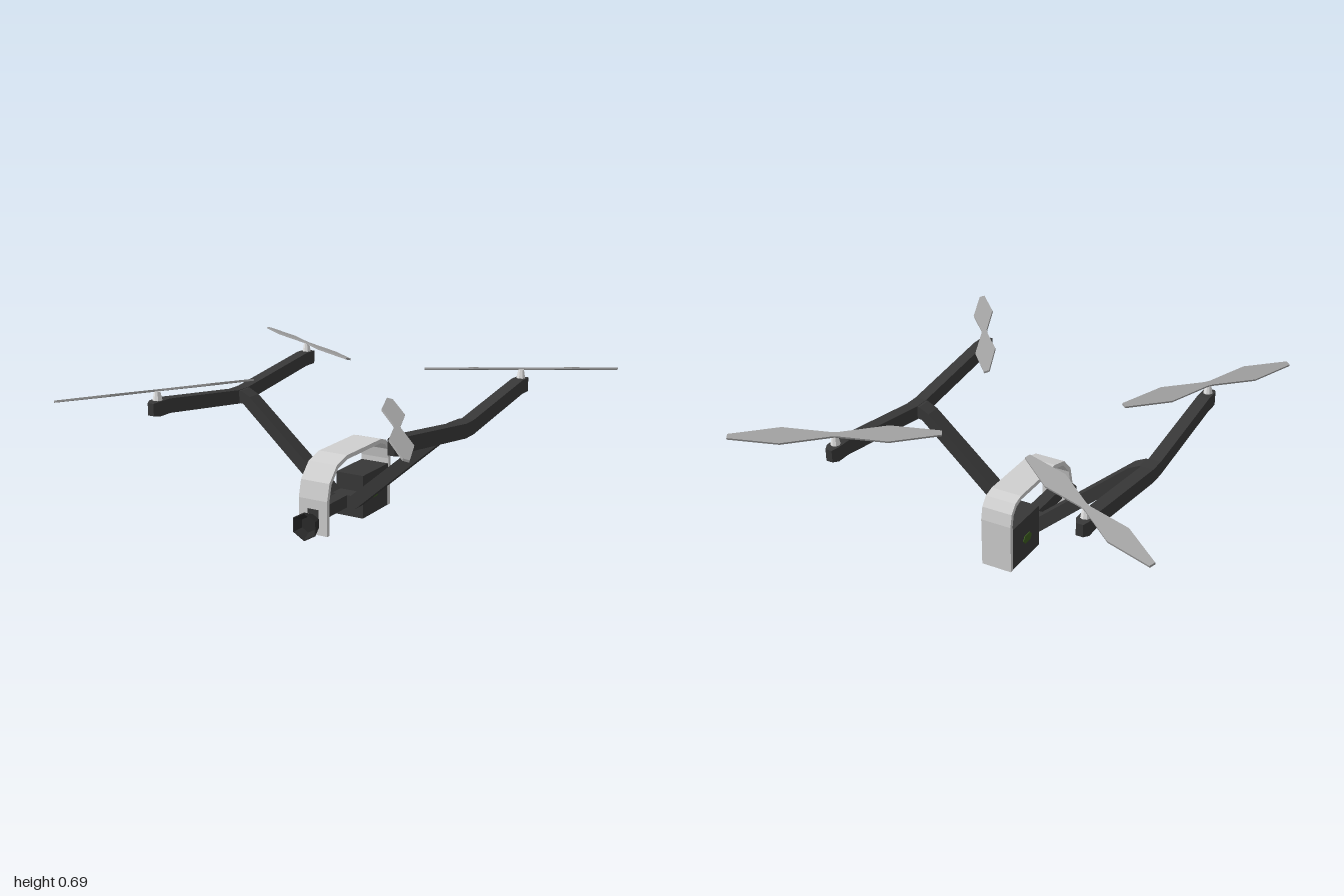
import * as THREE from 'three';

const mat = (name, color) => {
  const m = new THREE.MeshStandardMaterial({ color });
  m.name = name;
  return m;
};

export function createModel() {
  const dark = mat('charcoal', 0x383838);
  const black = mat('lens black', 0x2a2a2a);
  const shell = mat('light grey', 0xd0d0d0);
  const blade = mat('propeller grey', 0xa0a0a0);
  const white = mat('motor white', 0xe4e4e4);
  const green = mat('badge green', 0x3a5a1e);
  [dark, black, shell, blade, white, green].forEach(m => { m.flatShading = true; });

  const model = new THREE.Group();
  model.name = 'quadcopter';
  const add = (name, geo, material, x = 0, y = 0, z = 0) => {
    const mesh = new THREE.Mesh(geo, material);
    mesh.name = name;
    mesh.position.set(x, y, z);
    model.add(mesh);
    return mesh;
  };
  // Extrudes a point outline, centred on its depth
  const plate = (points, depth) => {
    const shape = new THREE.Shape(points.map(p => new THREE.Vector2(...p)));
    const geo = new THREE.ExtrudeGeometry(shape, { depth, bevelEnabled: false });
    return geo.translate(0, 0, -depth / 2);
  };
  // Lofts rectangular sections [z, centre y, half width, half height], front to back
  const loft = sections => {
    const pos = [], index = [];
    for (const [z, y, w, h] of sections) pos.push(-w, y - h, z, w, y - h, z, w, y + h, z, -w, y + h, z);
    const last = (sections.length - 1) * 4;
    for (let s = 0; s < last; s += 4) {
      for (let i = 0; i < 4; i++) {
        const a = s + i, b = s + (i + 1) % 4;
        index.push(a, a + 4, b, b, a + 4, b + 4);
      }
    }
    index.push(0, 1, 2, 0, 2, 3, last, last + 2, last + 1, last, last + 3, last + 2);
    const geo = new THREE.BufferGeometry();
    geo.setAttribute('position', new THREE.Float32BufferAttribute(pos, 3));
    geo.setIndex(index);
    const flat = geo.toNonIndexed();
    flat.computeVertexNormals();
    return flat;
  };

  // Body: battery box, nose boom and green badges
  add('batteryBox', new THREE.BoxGeometry(0.146, 0.21, 0.24), dark, 0, 0.105, -0.23);
  add('noseBoom', new THREE.BoxGeometry(0.06, 0.06, 0.33), dark, 0, 0.1, 0.05);
  const badge = plate([[-0.038, 0], [-0.022, -0.02], [0.022, -0.02], [0.038, 0], [0.022, 0.02], [-0.022, 0.02]], 0.006);
  badge.rotateY(Math.PI / 2);
  for (const s of [-1, 1]) add('sideBadge', badge, green, s * 0.074, 0.1, -0.22);

  // Curved guard strap over the body, drawn as [-z, y]
  const outer = [[-0.215, 0.01], [-0.215, 0.175], [-0.195, 0.255], [-0.13, 0.325], [-0.04, 0.35],
    [0.275, 0.35], [0.325, 0.335], [0.358, 0.295], [0.37, 0.235], [0.37, 0]];
  const inner = [[0.35, 0], [0.35, 0.235], [0.34, 0.285], [0.315, 0.315], [0.272, 0.33],
    [-0.04, 0.33], [-0.12, 0.307], [-0.177, 0.245], [-0.195, 0.17], [-0.195, 0.01]];
  add('guardStrap', plate([...outer, ...inner].reverse(), 0.15).rotateY(Math.PI / 2), shell);

  // Six-sided camera hood with a recessed lens
  const hood = new THREE.LatheGeometry([
    [0, -0.04], [0.036, -0.04], [0.068, 0.04], [0.062, 0.04], [0.038, 0.005], [0, 0.005],
  ].map(p => new THREE.Vector2(...p)), 6);
  hood.rotateX(Math.PI / 2);
  add('cameraHood', hood, black, 0, 0.068, 0.25);

  // Rotor: one tilted two-bladed propeller
  const half = [[0.015, -0.014], [0.23, -0.05], [0.456, -0.013], [0.456, 0.013], [0.23, 0.05], [0.015, 0.014]];
  const prop = plate([...half, ...half.map(([x, y]) => [-x, -y])], 0.009);
  prop.rotateX(-Math.PI / 2 - 0.27);
  const motor = new THREE.CylinderGeometry(0.014, 0.023, 0.045, 8);

  // Side arms, beams and rotors, mirrored left and right
  const armOutline = [[0, 0.07], [0.075, 0.07], [0.55, 0.493], [0.6, 0.493],
    [0.6, 0.555], [0.56, 0.555], [0.51, 0.53], [0.05, 0.13], [0, 0.13]];
  const beam = loft([
    [0.592, 0.595, 0.016, 0.028], [0.565, 0.595, 0.029, 0.033], [0.49, 0.595, 0.029, 0.033],
    [-0.035, 0.524, 0.029, 0.033], [-0.11, 0.524, 0.029, 0.033],
    [-0.64, 0.595, 0.029, 0.033], [-0.71, 0.595, 0.029, 0.033], [-0.737, 0.595, 0.016, 0.028],
  ]);
  for (const s of [-1, 1]) {
    const side = s > 0 ? 'left' : 'right';
    const points = armOutline.map(([x, y]) => [s * x, y]);
    add(side + 'Arm', plate(points, 0.074), dark, 0, 0, -0.073);
    add(side + 'Beam', beam, dark, s * 0.6);
    // Each rotor: name, z, and propeller heading
    for (const [end, z, turn] of [['Front', 0.543, -s * 1.004], ['Back', -0.687, s * 0.542]]) {
      add(side + end + 'Motor', motor, white, s * 0.6, 0.645, z);
      add(side + end + 'Propeller', prop, blade, s * 0.6, 0.672, z).rotation.y = turn;
    }
  }
  return model;
}
